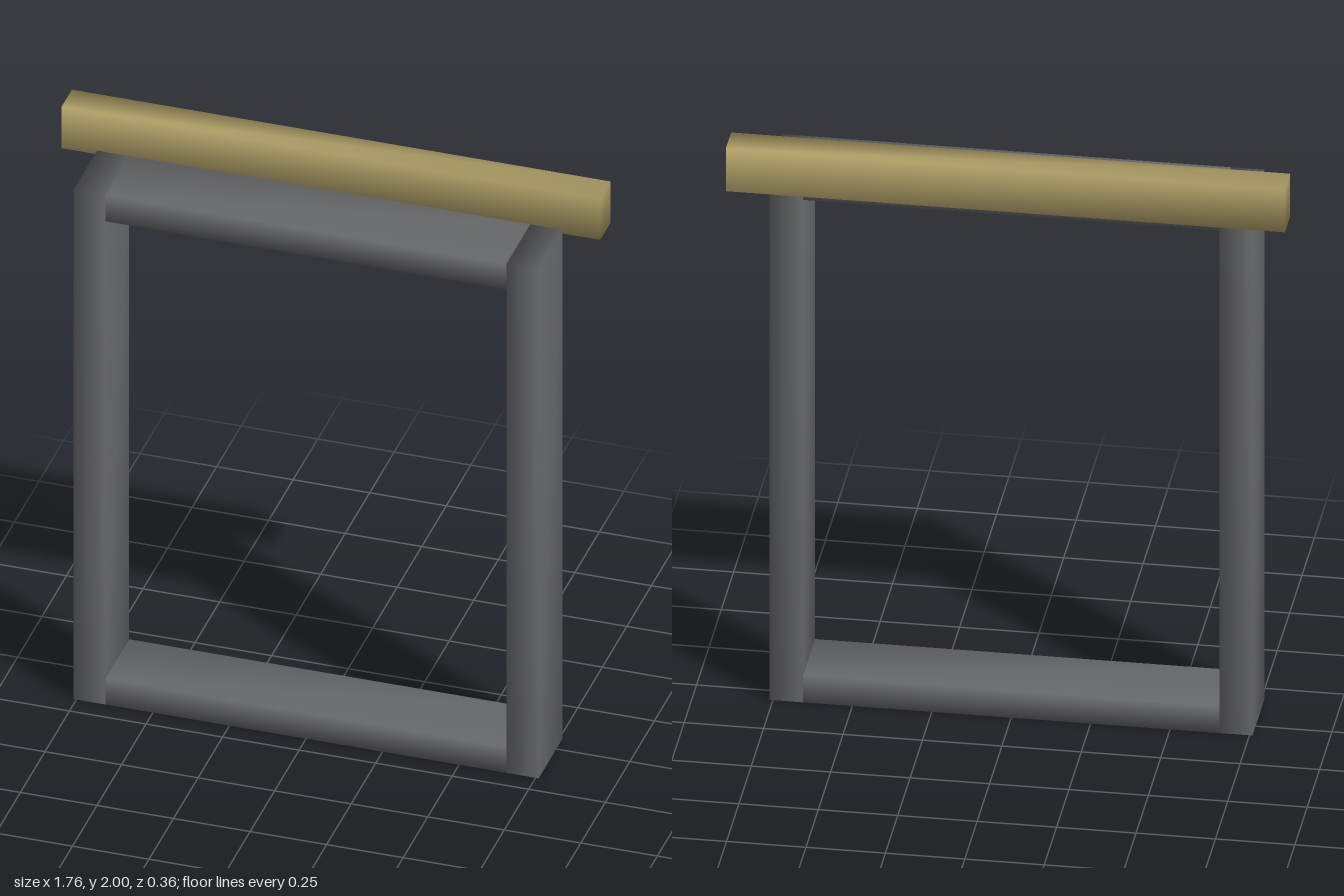
import * as THREE from 'three';
import { mergeVertices } from 'three/addons/utils/BufferGeometryUtils.js';

// Box given by its extents, with corners shared so shading runs softly over the edges
function softBox(name, [x0, x1], [y0, y1], [z0, z1], material) {
  let geometry = new THREE.BoxGeometry(x1 - x0, y1 - y0, z1 - z0);
  geometry.deleteAttribute('normal');
  geometry.deleteAttribute('uv');
  geometry = mergeVertices(geometry);
  geometry.computeVertexNormals();
  const mesh = new THREE.Mesh(geometry, material);
  mesh.name = name;
  mesh.position.set((x0 + x1) / 2, (y0 + y1) / 2, (z0 + z1) / 2);
  return mesh;
}

export function createModel() {
  const model = new THREE.Group();
  model.name = 'doorFrame';
  const frameMaterial = new THREE.MeshStandardMaterial({ color: 0x67686b });
  const beamMaterial = new THREE.MeshStandardMaterial({ color: 0xb3a269 });

  const outer = 0.76, inner = 0.655, height = 1.87, rail = 0.095;
  const depth = [-0.062, 0.18];

  // Upright posts
  model.add(softBox('leftPost', [inner, outer], [0, height], depth, frameMaterial));
  model.add(softBox('rightPost', [-outer, -inner], [0, height], depth, frameMaterial));

  // Rails between the posts
  model.add(softBox('bottomRail', [-inner, inner], [0, rail], depth, frameMaterial));
  model.add(softBox('topRail', [-inner, inner], [height - rail, height], depth, frameMaterial));

  // Overhanging beam behind the top
  model.add(softBox('topBeam', [-0.88, 0.88], [1.85, 2], [-0.18, -0.072], beamMaterial));

  return model;
}
